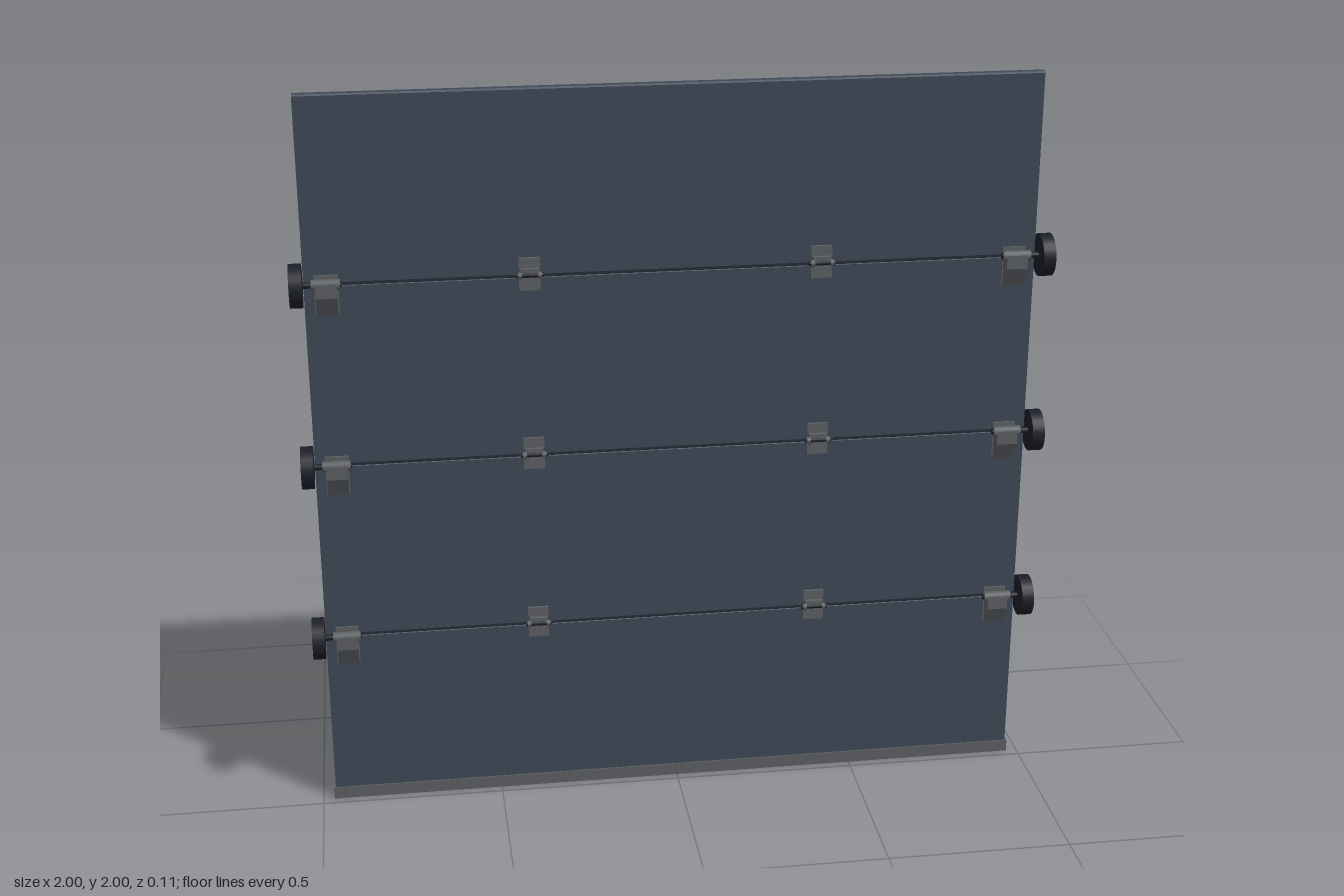
import * as THREE from 'three';

const mat = (name, color) => new THREE.MeshStandardMaterial({ name, color });

// Extrudes a [z, y] side profile along x, centred on x = 0
function sideExtrude(points, width) {
  const shape = new THREE.Shape(points.map(([z, y]) => new THREE.Vector2(-z, y)));
  const geo = new THREE.ExtrudeGeometry(shape, { depth: width, bevelEnabled: false });
  return geo.translate(0, 0, -width / 2).rotateY(Math.PI / 2);
}

export function createModel() {
  const slate = mat('slate panel', 0x3e4857);
  const steel = mat('grey steel', 0x5d6064);
  const black = mat('black rubber', 0x1c1e28);
  const seam = mat('dark seam', 0x252c36);

  const door = new THREE.Group();
  door.name = 'sectionalDoor';
  const add = (parent, name, geo, material, x = 0, y = 0, z = 0) => {
    const mesh = new THREE.Mesh(geo, material);
    mesh.name = name;
    mesh.position.set(x, y, z);
    parent.add(mesh);
    return mesh;
  };
  const box = (w, h, d) => new THREE.BoxGeometry(w, h, d);
  const rod = (r, length, sides = 16) => new THREE.CylinderGeometry(r, r, length, sides).rotateZ(Math.PI / 2);

  // Four stacked panels with chamfered long edges
  const front = -0.027, back = -0.054, c = 0.004;
  const edges = [0.02, 0.506, 1.006, 1.506, 2.0];
  for (let i = 0; i < 4; i++) {
    const y0 = edges[i] + (i ? 0.001 : 0), y1 = edges[i + 1] - (i < 3 ? 0.001 : 0);
    add(door, 'panel', sideExtrude([
      [front, y0 + c], [front, y1 - c], [front - c, y1], [back + c, y1],
      [back, y1 - c], [back, y0 + c], [back + c, y0], [front - c, y0],
    ], 1.93), slate);
  }

  // Bottom weather seal
  add(door, 'bottomSeal', box(1.94, 0.034, 0.034), steel, 0, 0.017, -0.04);

  // Hinge with two leaves, knuckles and a pin
  const addHinge = (x, y) => {
    const hinge = new THREE.Group();
    hinge.name = 'hinge';
    hinge.position.set(x, y, 0);
    for (const s of [1, -1]) {
      add(hinge, 'hingeLeaf', box(0.056, 0.03, 0.008), steel, 0, s * 0.029, -0.023);
      add(hinge, 'hingeTab', box(0.048, 0.012, 0.018), steel, 0, s * 0.011, -0.017);
      add(hinge, 'hingeKnuckle', rod(0.009, 0.01), steel, s * 0.026, 0, -0.01);
    }
    add(hinge, 'hingePin', rod(0.006, 0.072), black, 0, 0, -0.01);
    door.add(hinge);
  };

  // Roller carrier: mounting plate, sloped cheeks and face, axle, wheel
  const addRoller = (side, y) => {
    const roller = new THREE.Group();
    roller.name = 'roller';
    roller.position.set(0, y, 0);
    add(roller, 'mountPlate', box(0.062, 0.104, 0.006), steel, side * 0.907, -0.026, -0.024);
    add(roller, 'carrier', sideExtrude([
      [-0.027, 0.012], [-0.027, -0.078], [-0.012, -0.078], [0.016, -0.025], [0.016, 0.012],
    ], 0.056), steel, side * 0.907);
    add(roller, 'axleSleeve', rod(0.014, 0.074), steel, side * 0.908, 0.008, 0);
    add(roller, 'axle', rod(0.008, 0.115), black, side * 0.925, 0.008, 0);
    add(roller, 'wheel', rod(0.057, 0.033, 24), black, side * 0.9835, 0.008, 0);
    door.add(roller);
  };

  for (const y of edges.slice(1, 4)) {
    // Dark joint showing on both faces
    add(door, 'panelJoint', box(1.928, 0.007, 0.0245), seam, 0, y, -0.0405);
    for (const side of [1, -1]) {
      addHinge(side * 0.385, y + 0.007);
      addRoller(side, y);
    }
  }
  return door;
}
